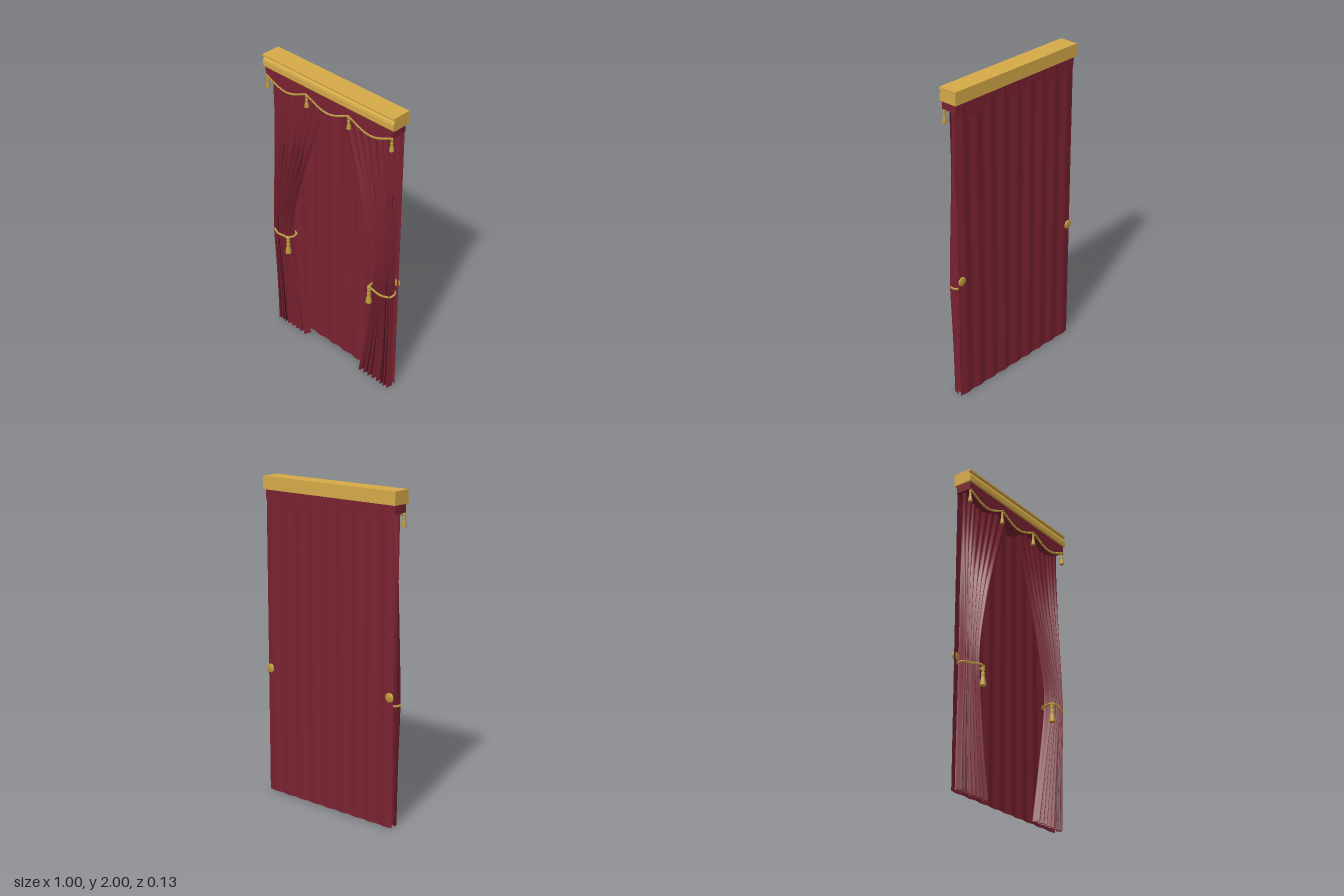
import * as THREE from 'three';

const V = (x, y, z) => new THREE.Vector3(x, y, z);
const lerp = THREE.MathUtils.lerp;

export function createModel() {
  const root = new THREE.Group();
  const mat = (name, color, side = THREE.FrontSide) => {
    const m = new THREE.MeshStandardMaterial({ color, side });
    m.name = name;
    return m;
  };
  const velvet = mat('red velvet', 0x7a2231, THREE.DoubleSide);
  const shade = mat('deep fold red', 0x4e131d, THREE.DoubleSide);
  const gold = mat('cornice gold', 0xd6aa48);
  const braid = mat('braid gold', 0xbd9a3a);

  const add = (name, geometry, material, parent = root) => {
    const mesh = new THREE.Mesh(geometry, material);
    mesh.name = name;
    parent.add(mesh);
    return mesh;
  };

  // Cloth sheet: a grid whose points follow fn(u, t), t running downwards
  const sheet = (nu, nt, fn) => {
    const g = new THREE.PlaneGeometry(1, 1, nu, nt);
    const p = g.attributes.position;
    for (let i = 0; i < p.count; i++) {
      const q = fn(p.getX(i) + 0.5, 0.5 - p.getY(i));
      p.setXYZ(i, q.x, q.y, q.z);
    }
    g.computeVertexNormals();
    return g;
  };

  // Two strands twisted around a path
  const rope = (name, path, turns, steps, parent = root) => {
    const up = V(0, 1, 0);
    for (let k = 0; k < 2; k++) {
      const pts = [];
      for (let i = 0; i <= steps; i++) {
        const t = i / steps, a = t * turns * Math.PI * 2 + k * Math.PI;
        const side = path.getTangent(t).cross(up).normalize();
        pts.push(path.getPoint(t).addScaledVector(side, 0.0035 * Math.cos(a))
          .addScaledVector(up, 0.0035 * Math.sin(a)));
      }
      add(name, new THREE.TubeGeometry(new THREE.CatmullRomCurve3(pts), steps, 0.0045, 6), braid, parent);
    }
  };

  // Tassel hanging from its top point
  const tassel = (name, x, y, z, h, parent = root) => {
    const profile = [[0, 1], [0.05, 0.98], [0.1, 0.9], [0.11, 0.82], [0.06, 0.74], [0.1, 0.66],
      [0.11, 0.56], [0.08, 0.5], [0.12, 0.35], [0.17, 0.03], [0.14, 0], [0, 0]];
    const g = new THREE.LatheGeometry(
      profile.map(([r, v]) => new THREE.Vector2(r * h, (v - 1) * h)).reverse(), 14);
    add(name, g, braid, parent).position.set(x, y, z);
  };

  // Cornice: moulded profile (z, y) run along x
  const profile = new THREE.Shape([[-0.063, 1.92], [0.056, 1.92], [0.06, 1.926], [0.06, 1.955],
    [0.057, 1.968], [0.05, 1.979], [0.05, 1.984], [0.06, 1.988], [0.06, 2], [-0.063, 2]]
    .map(([z, y]) => new THREE.Vector2(z, y)));
  const corniceGeo = new THREE.ExtrudeGeometry(profile, { depth: 1, bevelEnabled: false });
  corniceGeo.rotateY(-Math.PI / 2).translate(0.5, 0, 0);
  add('cornice', corniceGeo, gold);

  // Valance: solid with three scallops along the bottom
  const W = 0.49;
  const scallopY = (x) => {
    const f = ((x + W) / (2 * W)) * 3;
    return 1.87 - 0.053 * Math.sin(Math.PI * (f - Math.floor(f))) ** 1.2;
  };
  const hem = [];
  for (let i = 0; i <= 60; i++) {
    const x = -W + (2 * W * i) / 60;
    hem.push(new THREE.Vector2(x, i % 20 ? scallopY(x) : 1.87));
  }
  const valanceShape = new THREE.Shape([new THREE.Vector2(-W, 1.925), ...hem, new THREE.Vector2(W, 1.925)]);
  const valanceGeo = new THREE.ExtrudeGeometry(valanceShape, { depth: 0.1, bevelEnabled: false });
  add('valance', valanceGeo.translate(0, 0, -0.05), velvet);

  // Braid and tassels on the valance
  const trim = new THREE.CatmullRomCurve3(hem.map((p) => V(p.x, p.y, 0.051)));
  rope('valanceBraid', trim, 36, 240);
  for (const x of [-0.48, -W / 3, W / 3, 0.48]) tassel('valanceTassel', x, 1.87, 0.046, 0.085);

  // Back cloth with soft waves
  add('backCloth', sheet(90, 1, (u, t) =>
    V(lerp(-W, W, u), 1.93 * (1 - t), -0.048 + 0.004 * Math.cos(u * Math.PI * 18))), velvet);

  // Each drape follows its inner edge: x, y and fold depth
  const edge = new THREE.CatmullRomCurve3([V(0.03, 1.9, 0.004), V(0.165, 1.5, 0.009), V(0.265, 1.2, 0.016),
    V(0.338, 0.9, 0.021), V(0.345, 0.75, 0.024), V(0.31, 0.5, 0.021), V(0.268, 0.25, 0.02), V(0.22, 0, 0.02)]);
  const valleys = [0, 0.1, 0.2, 0.29, 0.43, 0.57, 0.7, 0.83, 1];
  const phase = (u) => {
    let i = 0;
    while (i < valleys.length - 2 && u > valleys[i + 1]) i++;
    return i + (u - valleys[i]) / (valleys[i + 1] - valleys[i]);
  };
  const drapeAt = (u, t, s, lift = 0) => {
    const e = edge.getPoint(t);
    const bulge = 0.011 * Math.exp(-(((e.y - 0.8) / 0.4) ** 2));
    const z = bulge - e.z * Math.cos(phase(u) * Math.PI * 2) + lift;
    return V(s * lerp(W, e.x, u), Math.max(e.y, 0), z);
  };

  for (const s of [1, -1]) {
    const side = new THREE.Group();
    side.name = s > 0 ? 'leftDrape' : 'rightDrape';
    root.add(side);
    add('drapeCloth', sheet(96, 40, (u, t) => drapeAt(u, t, s)), velvet, side);

    // Deep folds: thin tapering strips lying in the valleys
    [0.1, 0.2, 0.29, 0.57, 0.7, 0.83].forEach((c, i) => {
      const start = 0.165 + 0.012 * (i % 3);
      add('deepFold', sheet(4, 36, (u, t) => {
        const half = 0.012 + 0.02 * Math.min(1, t * 2.5);
        return drapeAt(c + (u - 0.5) * 2 * half, lerp(start, 1, t), s, 0.0025);
      }), shade, side);
    });

    // Tieback loop with its tassel
    const loop = new THREE.CatmullRomCurve3([[0.345, 0.762, 0.05], [0.385, 0.76, 0.056], [0.435, 0.748, 0.05],
      [0.487, 0.747, 0.02], [0.482, 0.752, -0.025], [0.41, 0.752, -0.03], [0.345, 0.752, -0.025],
      [0.332, 0.757, 0.02]].map(([x, y, z]) => V(s * x, y, z)), true);
    rope('tiebackRope', loop, 18, 140, side);
    tassel('tiebackTassel', s * 0.342, 0.758, 0.049, 0.118, side);
    add('tiebackKnot', new THREE.SphereGeometry(0.012, 12, 8), braid, side).position.set(s * 0.342, 0.757, 0.05);

    // Round holdback knob behind the cloth
    const knob = new THREE.LatheGeometry([[0, -0.008], [0.022, -0.008], [0.029, -0.003], [0.029, 0.002],
      [0.022, 0.006], [0.012, 0.006], [0, 0.009]].map(([r, y]) => new THREE.Vector2(r, y)), 16);
    const knobMesh = add('holdbackKnob', knob, braid, side);
    knobMesh.rotation.x = -Math.PI / 2;
    knobMesh.position.set(s * 0.468, 0.807, -0.053);
  }
  return root;
}
